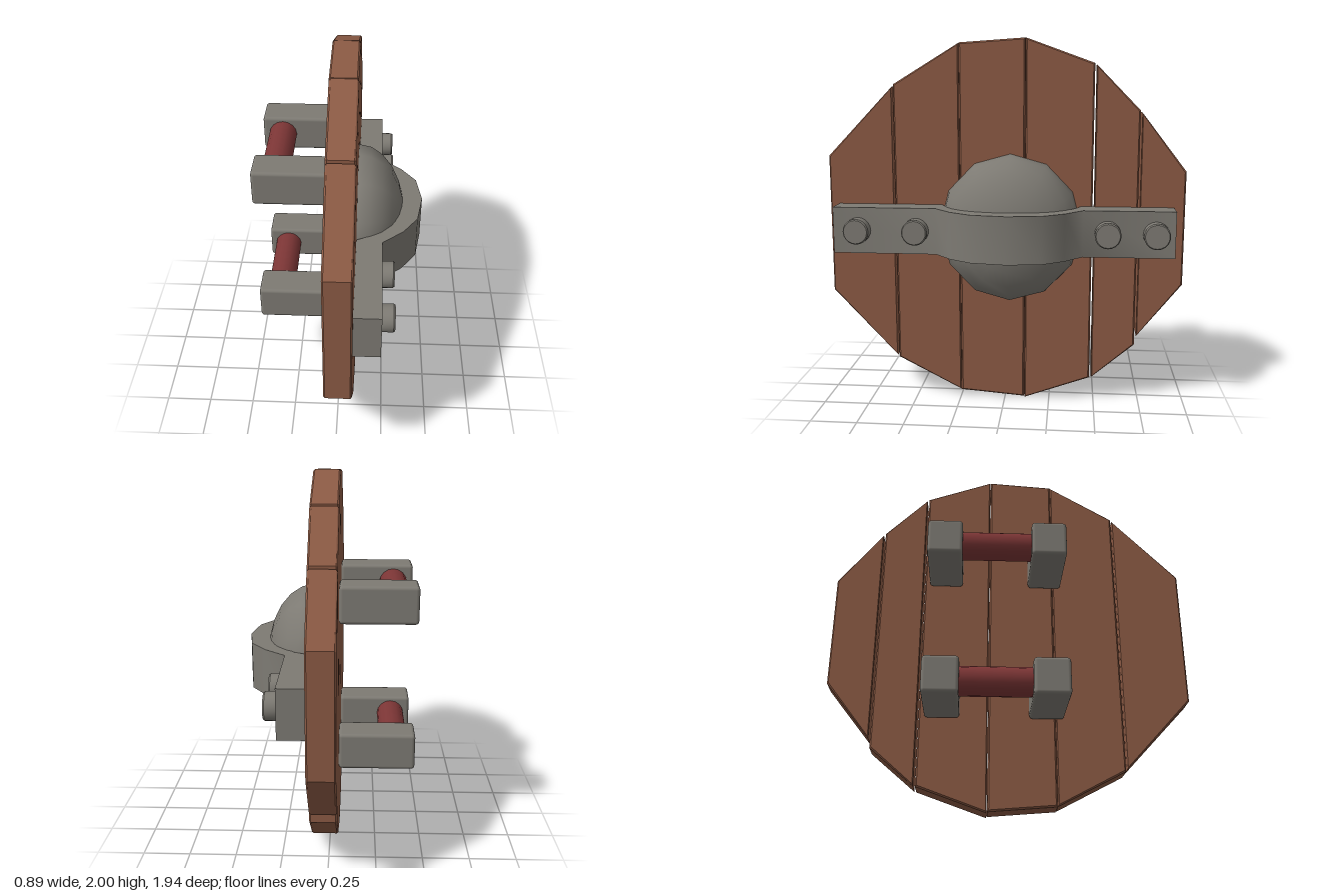
import * as THREE from 'three';
import { toCreasedNormals } from 'three/addons/utils/BufferGeometryUtils.js';
import { RoundedBoxGeometry } from 'three/addons/geometries/RoundedBoxGeometry.js';

const wood = new THREE.MeshStandardMaterial({ color: 0x8b5a44 });
const iron = new THREE.MeshStandardMaterial({ color: 0x7d7a73 });
const grip = new THREE.MeshStandardMaterial({ color: 0x7d3636 });

const CENTER_Y = 0.983;
const FACE_X = 0.09; // front surface of the planks
const BACK_X = -0.05;

const toShape = (points) => new THREE.Shape(points.map(([x, y]) => new THREE.Vector2(x, y)));

export function createModel() {
  const shield = new THREE.Group();
  shield.name = 'shield';

  const add = (name, geometry, material, x = 0, y = 0, z = 0) => {
    const mesh = new THREE.Mesh(geometry, material);
    mesh.name = name;
    mesh.position.set(x, y, z);
    shield.add(mesh);
    return mesh;
  };

  // Vertical planks: [z1, top1, bottom1, z2, top2, bottom2]
  const planks = [
    [0.972, 1.37, 0.61, 0.613, 1.745, 0.23],
    [0.606, 1.757, 0.22, 0.249, 1.973, 0.036],
    [0.247, 1.976, 0.034, -0.109, 2.0, 0.006],
    [-0.112, 2.0, 0.0, -0.476, 1.868, 0.13],
    [-0.486, 1.86, 0.132, -0.72, 1.622, 0.33],
    [-0.73, 1.61, 0.38, -0.97, 1.3, 0.68],
  ];
  const bevel = 0.008;
  planks.forEach(([z1, t1, b1, z2, t2, b2], i) => {
    const geometry = new THREE.ExtrudeGeometry(toShape([[z1, t1], [z2, t2], [z2, b2], [z1, b1]]), {
      depth: FACE_X - BACK_X - 2 * bevel,
      bevelThickness: bevel,
      bevelSize: bevel,
      bevelOffset: -bevel,
      bevelSegments: 1,
    });
    geometry.rotateY(-Math.PI / 2);
    add(`plank${i + 1}`, geometry, wood, FACE_X - bevel);
  });

  // Domed boss in the middle of the face
  const dome = new THREE.SphereGeometry(1, 12, 6, 0, Math.PI * 2, 0, Math.PI / 2);
  dome.rotateZ(-Math.PI / 2);
  dome.scale(0.26, 0.405, 0.39);
  add('boss', dome, iron, FACE_X, CENTER_Y, -0.03);

  // Strap across the face, arched over the boss; profile points are [x, z]
  const profile = [
    [0.09, 0.92], [0.225, 0.92], [0.225, 0.36], [0.334, 0.267], [0.413, 0.149], [0.443, -0.035],
    [0.416, -0.216], [0.334, -0.33], [0.225, -0.425], [0.225, -0.91], [0.09, -0.91],
    [0.09, -0.415], [0.18, -0.37], [0.28, -0.24], [0.335, -0.035], [0.28, 0.17], [0.18, 0.3], [0.09, 0.345],
  ];
  const strap = new THREE.ExtrudeGeometry(toShape(profile.map(([x, z]) => [x, -z])), {
    depth: 0.25,
    bevelEnabled: false,
  });
  strap.rotateX(-Math.PI / 2);
  add('strap', toCreasedNormals(strap, 0.9), iron, 0, 0.856, 0);

  // Rivets with slightly eased rims
  const rivetProfile = [[0, 0], [0.069, 0], [0.069, 0.059], [0.063, 0.067], [0, 0.067]];
  const rivet = toCreasedNormals(
    new THREE.LatheGeometry(rivetProfile.map(([r, h]) => new THREE.Vector2(r, h)), 20), 0.6);
  rivet.rotateZ(-Math.PI / 2);
  [0.783, 0.467, -0.555, -0.808].forEach((z, i) => add(`rivet${i + 1}`, rivet, iron, 0.223, CENTER_Y, z));

  // Two handles on the back, each a bar held by a pair of brackets
  const bracket = new RoundedBoxGeometry(0.397, 0.194, 0.185, 2, 0.018);
  const bar = new THREE.CylinderGeometry(0.076, 0.076, 0.4, 16);
  bar.rotateX(Math.PI / 2);
  [['upper', 1.37], ['lower', 0.588]].forEach(([label, y]) => {
    add(`${label}BracketLeft`, bracket, iron, -0.248, y, -0.354);
    add(`${label}BracketRight`, bracket, iron, -0.248, y, 0.198);
    add(`${label}Grip`, bar, grip, -0.338, y, -0.08);
  });

  return shield;
}
